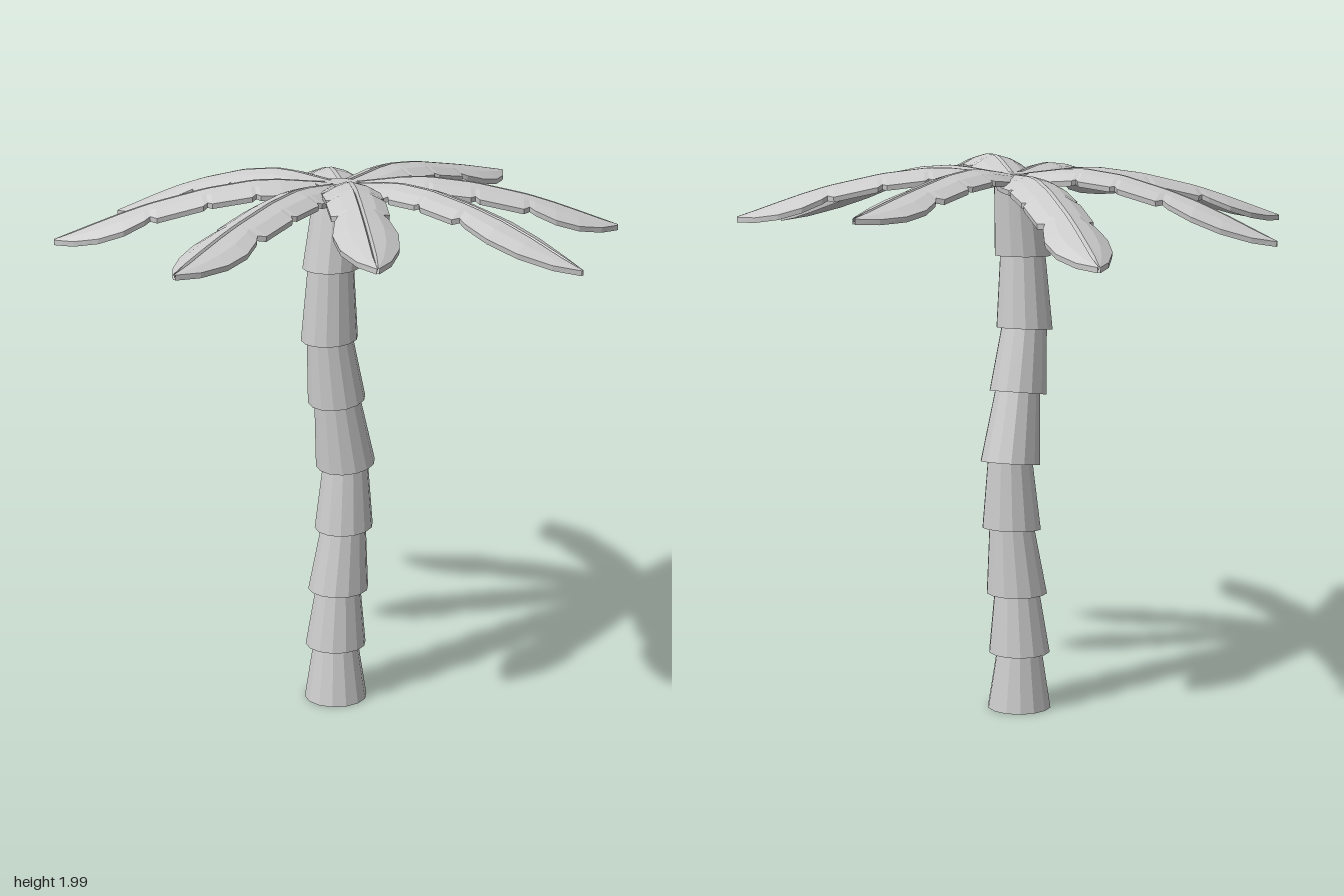
import * as THREE from 'three';

const mat = new THREE.MeshStandardMaterial({ color: 0xcccccc, flatShading: true, side: THREE.DoubleSide });

// Trunk rings: centre x, y, z, lower radius, tilt of the ring about x
const RINGS = [
  [-0.01, 0, -0.03, 0.116, 0],
  [-0.013, 0.21, -0.035, 0.112, 0],
  [-0.005, 0.43, -0.04, 0.111, 0.01],
  [0.008, 0.67, -0.057, 0.107, 0.08],
  [0.01, 0.91, -0.065, 0.108, 0.15],
  [-0.003, 1.16, -0.025, 0.104, 0.17],
  [-0.016, 1.39, 0.003, 0.102, 0.09],
  [-0.008, 1.65, 0.005, 0.101, 0.03],
  [0, 1.93, -0.03, 0.08, 0],
];

// Fronds: tip x, y, z, heights at 30% and 65% of the length, position of the last notch
const FRONDS = [
  [0.96, 1.76, -0.01, 1.965, 1.895, 0.57],
  [0.84, 1.8, -0.535, 1.965, 1.91, 0.69],
  [0.155, 1.85, -0.965, 1.97, 1.92, 0.64],
  [-0.615, 1.71, -0.78, 1.94, 1.85, 0.67],
  [-0.96, 1.74, -0.03, 1.965, 1.885, 0.62],
  [-0.765, 1.775, 0.6, 1.96, 1.895, 0.69],
  [0, 1.825, 0.96, 1.965, 1.915, 0.66],
  [0.6, 1.87, 0.71, 1.995, 1.95, 0.57],
];

// Leaf outline: position along the leaf, half width
const OUTLINE = [
  [0, 0.03], [0.1, 0.085], [0.25, 0.1], [0.33, 0.097], [0.345, 0.085], [0.36, 0.1],
  [0.49, 0.098], [0.505, 0.085], [0.52, 0.1], [0.67, 0.098], [0.69, 0.076], [0.71, 0.09],
  [0.78, 0.108], [0.86, 0.096], [0.94, 0.055], [1, 0.005],
];
const NOTCH = 0.69;

// One flared trunk segment whose narrow top slips into the segment above
function trunkSegment(ring, next) {
  const [x, y, z, r, tilt] = ring;
  const height = next[1] - y + 0.015;
  const g = new THREE.CylinderGeometry(0.081, r, height, 14, 1);
  const p = g.attributes.position;
  for (let i = 0; i < p.count; i++) {
    const t = p.getY(i) / height + 0.5;
    const tiltNow = THREE.MathUtils.lerp(tilt, next[4], t);
    const px = p.getX(i), pz = p.getZ(i);
    p.setXYZ(i,
      THREE.MathUtils.lerp(x, next[0], t) + px,
      y + t * height - pz * Math.sin(tiltNow),
      THREE.MathUtils.lerp(z, next[2], t) + pz * Math.cos(tiltNow));
  }
  g.computeVertexNormals();
  return new THREE.Mesh(g, mat);
}

// A drooping, notched leaf with a groove along its midrib
function frond([tx, ty, tz, y1, y2, notch]) {
  const base = new THREE.Vector3(0, 1.94, -0.06);
  const tip = new THREE.Vector3(tx, ty, tz);
  const at = (t, y) => base.clone().lerp(tip, t).setY(y);
  const curve = new THREE.CatmullRomCurve3([base, at(0.3, y1), at(0.65, y2), tip]);
  const dir = tip.clone().sub(base).setY(0).normalize();
  const side = new THREE.Vector3(0, 1, 0).cross(dir);
  const pos = [], idx = [];
  let n = 0;
  for (const [u, w] of OUTLINE) {
    const t = u < NOTCH ? u * notch / NOTCH : notch + (u - NOTCH) * (1 - notch) / (1 - NOTCH);
    const c = curve.getPoint(t);
    const g = Math.min(0.007, w * 0.3), droop = 0.38 * w, th = 0.018;
    const half = [[w, -droop], [w * 0.55, -droop * 0.35], [g, 0]];
    const mirror = half.map(([s, y]) => [-s, y]).reverse();
    const top = [...half, [0, -0.012], ...mirror];
    const under = [...mirror.slice(1).reverse(), [0, 0], half[1], half[0]].map(([s, y]) => [s * 0.98, y - th]);
    const loop = [...top, ...under];
    n = loop.length;
    for (const [s, y] of loop) pos.push(c.x + side.x * s, c.y + y, c.z + side.z * s);
  }
  for (let i = 0; i < OUTLINE.length - 1; i++) {
    for (let j = 0; j < n; j++) {
      const k = (j + 1) % n;
      const a = i * n + j, b = i * n + k, c = a + n, d = b + n;
      idx.push(a, b, c, b, d, c);
    }
  }
  const geo = new THREE.BufferGeometry();
  geo.setAttribute('position', new THREE.Float32BufferAttribute(pos, 3));
  geo.setIndex(idx);
  geo.computeVertexNormals();
  return new THREE.Mesh(geo, mat);
}

export function createModel() {
  const model = new THREE.Group();
  model.name = 'palmTree';

  const trunk = new THREE.Group();
  trunk.name = 'trunk';
  for (let i = 0; i < RINGS.length - 1; i++) {
    const m = trunkSegment(RINGS[i], RINGS[i + 1]);
    m.name = `trunkSegment${i + 1}`;
    trunk.add(m);
  }

  const crown = new THREE.Group();
  crown.name = 'crown';
  FRONDS.forEach((f, i) => {
    const m = frond(f);
    m.name = `frond${i + 1}`;
    crown.add(m);
  });

  model.add(trunk, crown);
  return model;
}
